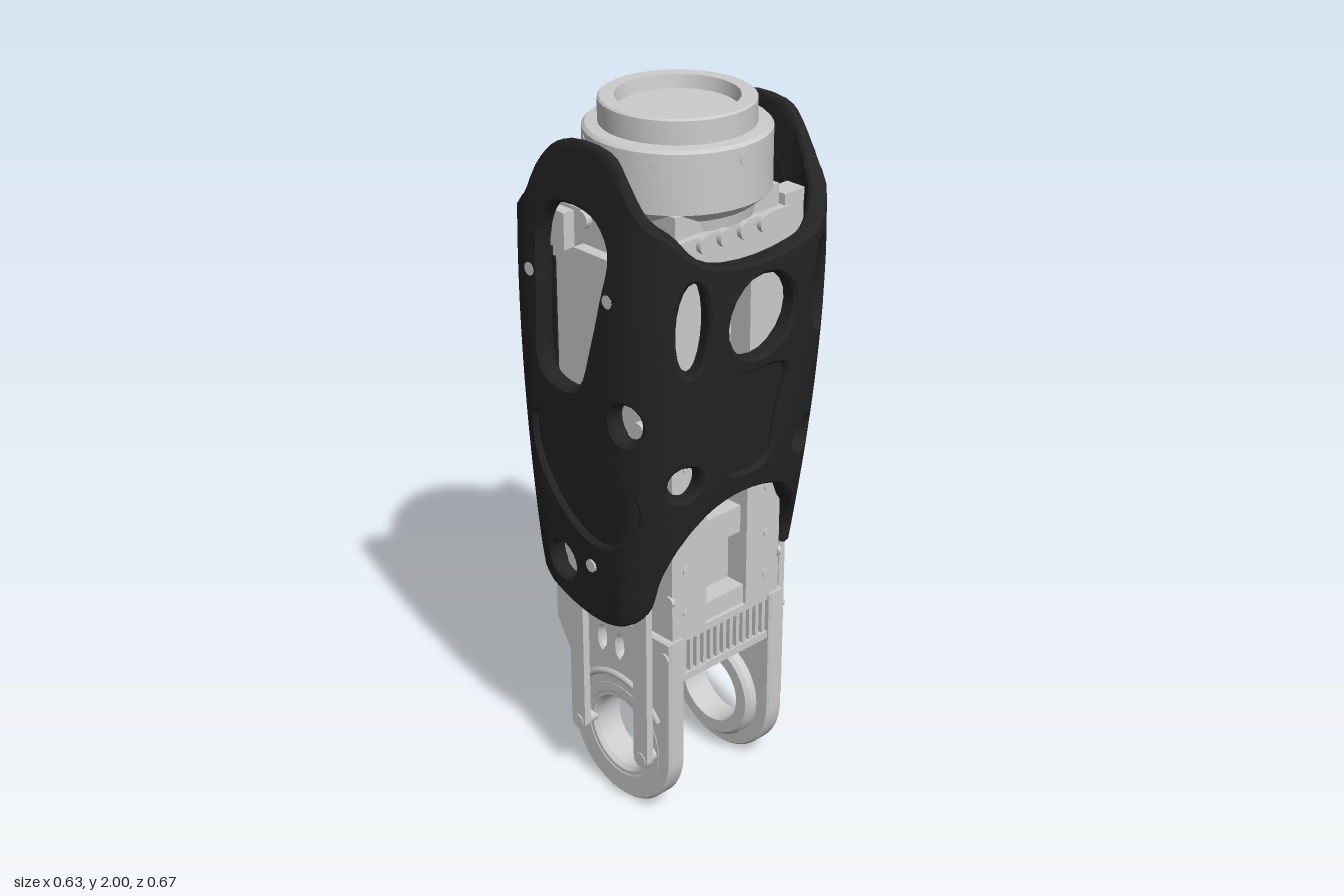
import * as THREE from 'three';
import { toCreasedNormals } from 'three/addons/utils/BufferGeometryUtils.js';

const grey = new THREE.MeshStandardMaterial({ color: 0xcccccc });
const black = new THREE.MeshStandardMaterial({ color: 0x242424 });

// Shell cross-section: rounded rectangle, wider corners on +x. s runs from the front centre over +x to the back
const A = 0.315, B = 0.333, R = 0.19, R2 = 0.12, THICK = 0.052, STEP = 0.04;
const Q = A - R + R * Math.PI / 2 + B - R;
const END = A - R2 + R2 * Math.PI / 2 + B - R2 - 0.07;
const scaleX = (pos, y) => 1 - (pos ? 0.28 : 0.11) * Math.pow(Math.max(0, 1.6 - y) / 0.8, 1.5);
const scaleZ = y => 1 - 0.11 * ((1.4 - y) / 0.8) ** 2;
const along = (v, half, r) => Math.sign(v) * (Math.abs(v) <= half - r ? Math.abs(v)
  : half - r + r * Math.asin(Math.min(1, (Math.abs(v) - half + r) / r)));
// Unrolled coordinates of a point on the front, side or back face
const front = (x, y) => [along(x / scaleX(x > 0, y), A, x > 0 ? R : R2), y];
const side = (z, y) => [Q - along(z / scaleZ(y), B, R), y];
const back = (x, y) => [2 * Q - front(x, y)[0], y];

// Point and normal on the cross-section
function section(s) {
  const t = s <= Q ? s : 2 * Q - s, sx = t < 0 ? -1 : 1, sz = s <= Q ? 1 : -1;
  const r = t < 0 ? R2 : R, arc = r * Math.PI / 2, v = Math.abs(t) - A + r;
  const a = Math.min(Math.max(v, 0), arc) / r, nx = Math.sin(a), nz = Math.cos(a);
  return [sx * (A - r + r * nx + Math.min(v, 0)), sz * (B - r + r * nz - Math.max(v - arc, 0)), sx * nx, sz * nz];
}

// Wraps an unrolled point around the leg in facets of width STEP; d is the depth, thinning towards the top
function wrap(s, y, d) {
  const k = Math.floor(s / STEP), f = s / STEP - k, p = section(k * STEP), q = section((k + 1) * STEP);
  const [x, z, nx, nz] = p.map((v, i) => v + (q[i] - v) * f);
  const e = d * (1 - 0.45 * Math.max(0, (y - 1.7) / 0.23));
  return [x * scaleX(x > 0, y) - nx * e, y, z * scaleZ(y) - nz * e];
}

const smooth = (pts, n) => new THREE.CatmullRomCurve3(pts.map(p => new THREE.Vector3(p[0], p[1], 0)), true)
  .getPoints(n).slice(0, -1).map(p => new THREE.Vector2(p.x, p.y));
const oval = ([s, y], rx, ry = rx, n = 20) => Array.from({ length: n }, (_, i) => {
  const t = i / n * Math.PI * 2;
  return new THREE.Vector2(s + rx * Math.cos(t), y + ry * Math.sin(t));
});

// Keeps the part of a polygon where sign * (coordinate - value) >= 0
function clip(poly, axis, value, sign) {
  return poly.flatMap((a, i) => {
    const b = poly[(i + 1) % poly.length], da = sign * (a[axis] - value), db = sign * (b[axis] - value);
    return [...(da >= 0 ? [a] : []), ...(da * db < 0 ? [a.clone().lerp(b, da / (da - db))] : [])];
  });
}
function slice(polys, axis, step) {
  return polys.flatMap(poly => {
    const c = poly.map(v => v[axis] / step), out = [];
    for (let k = Math.floor(Math.min(...c)); k <= Math.floor(Math.max(...c)); k++)
      out.push(clip(clip(poly, axis, k * step, 1), axis, (k + 1) * step, -1));
    return out.filter(piece => piece.length > 2);
  });
}

// Extrudes an unrolled outline, slices it on a grid and bends the result
function wrapped(outline, holes, thick, depth, bevel) {
  const shape = new THREE.Shape(outline);
  shape.holes = holes.map(h => new THREE.Path(h));
  const p = new THREE.ExtrudeGeometry(shape, { depth: thick - 2 * bevel, bevelEnabled: bevel > 0, bevelSize: bevel,
    bevelThickness: bevel, bevelOffset: -bevel, bevelSegments: 1 }).attributes.position;
  const out = [], put = v => out.push(...wrap(v.x, v.y, depth + thick - bevel - v.z));
  for (let i = 0; i < p.count; i += 3) {
    const tri = [0, 1, 2].map(k => new THREE.Vector3().fromBufferAttribute(p, i + k));
    for (const poly of slice(slice([tri], 'x', STEP), 'y', 0.08))
      for (let j = 1; j < poly.length - 1; j++) [poly[0], poly[j], poly[j + 1]].forEach(put);
  }
  const g = new THREE.BufferGeometry();
  g.setAttribute('position', new THREE.Float32BufferAttribute(out, 3));
  return toCreasedNormals(g, 0.6);
}
const lathe = pts => toCreasedNormals(new THREE.LatheGeometry(pts.map(p => new THREE.Vector2(...p)), 36), 0.5);

export function createModel() {
  const root = new THREE.Group();
  const add = (name, geo, pos = [0, 0, 0], mat = grey, rot = [0, 0, 0]) => {
    const m = new THREE.Mesh(geo, mat);
    m.name = name;
    m.position.set(...pos);
    m.rotation.set(...rot);
    root.add(m);
  };
  const box = (name, x0, x1, y0, y1, z0, z1, mat) => add(name,
    new THREE.BoxGeometry(x1 - x0, y1 - y0, z1 - z0), [(x0 + x1) / 2, (y0 + y1) / 2, (z0 + z1) / 2], mat);
  const boltZ = (name, x, y, z, r, len) =>
    add(name, new THREE.CylinderGeometry(r, r, len, 12), [x, y, z], grey, [Math.PI / 2, 0, 0]);
  const boltX = (name, x, y, z, r, len) =>
    add(name, new THREE.CylinderGeometry(r, r, len, 12), [x, y, z], grey, [0, 0, Math.PI / 2]);

  // Cover shell outline: lower edge front to back, then upper edge back to front
  const far = 2 * Q;
  const outline = smooth([
    [-END, 0.9], [-END + 0.03, 0.85], [-0.42, 0.82], front(-0.27, 0.79), front(-0.2, 0.67), front(-0.07, 0.61),
    front(0.04, 0.605), front(0.16, 0.67), side(0.243, 0.79), side(0.2, 0.89), side(0.127, 0.96), side(0, 0.985),
    side(-0.127, 0.96), side(-0.19, 0.9), side(-0.26, 0.76), back(0.17, 0.7), back(0, 0.69), back(-0.1, 0.7),
    back(-0.2, 0.74), [far + 0.42, 0.78], [far + END - 0.03, 0.8], [far + END, 0.85],
    [far + END, 1.05], [far + END, 1.3], [far + END, 1.53], [far + END - 0.03, 1.59], [far + 0.43, 1.63],
    [far + 0.33, 1.7], back(-0.23, 1.76), back(-0.16, 1.87), back(-0.08, 1.93),
    back(0.09, 1.93), back(0.14, 1.88), back(0.2, 1.8), [far - 0.28, 1.755], side(-0.2, 1.69),
    side(0, 1.655), side(0.2, 1.69), [0.28, 1.755], front(0.2, 1.8), front(0.14, 1.88), front(0.09, 1.935),
    front(-0.08, 1.935), front(-0.16, 1.87), front(-0.23, 1.76), [-0.33, 1.7], [-0.43, 1.63],
    [-END + 0.03, 1.59], [-END, 1.53], [-END, 1.3], [-END, 1.05],
  ], 190);
  const frontPocket = smooth([front(-0.19, 1.17), front(-0.2, 1.09), front(-0.13, 0.95), front(-0.02, 0.865),
    front(0.08, 0.87), front(0.17, 0.97), front(0.16, 1.05), front(0.06, 1.13), front(-0.08, 1.16)], 36);
  const backPocket = smooth([back(0.12, 1.4), back(0.03, 1.32), back(-0.06, 1.33), back(-0.12, 1.44),
    back(-0.09, 1.65), back(-0.03, 1.79), back(0.05, 1.81), back(0.1, 1.73)], 36);
  const sidePocket = smooth([side(0.07, 1.07), side(0, 1.05), side(-0.07, 1.07), side(-0.085, 1.2),
    side(-0.1, 1.33), side(0, 1.35), side(0.1, 1.33), side(0.085, 1.2)], 32);
  const window = smooth([front(-0.155, 1.31), front(-0.07, 1.28), front(-0.02, 1.3), front(0.025, 1.42),
    front(0.06, 1.55), front(0.09, 1.7), front(0.03, 1.77), front(-0.1, 1.77), front(-0.155, 1.69),
    front(-0.16, 1.5)], 40);
  const holes = [frontPocket, backPocket, sidePocket, window,
    oval(side(0, 1.5), 0.114), oval(front(0.15, 1.25), 0.055), oval(front(-0.12, 0.745), 0.055),
    oval(back(0.005, 0.97), 0.165, 0.145), oval(back(-0.19, 1.17), 0.05, 0.045),
    smooth([back(0.12, 1.2), back(0.235, 1.19), back(0.19, 1.3)], 18)];
  for (const k of [1, -1]) holes.push(oval(side(0.225 * k, 1.52), 0.045, 0.125),
    oval(side(0.215 * k, 1.08), 0.05), oval([k > 0 ? -0.43 : far + 0.43, 1.36], 0.038, 0.16));
  add('coverShell', wrapped(outline, holes, THICK, 0, 0.009), [0, 0, 0], black);
  for (const [name, pocket] of [['frontPocket', frontPocket], ['backPocket', backPocket], ['sidePocket', sidePocket]])
    add(name, wrapped(pocket, [], 0.03, 0.016, 0), [0, 0, 0], black);

  // Inner side panel and the bridge behind the collar
  box('sidePanel', -0.272, -0.25, 0.63, 1.55, -0.2, 0.2, black);
  box('panelFoot', -0.272, -0.252, 0.6, 0.64, -0.2, -0.15, black);
  box('shellBridge', -0.022, 0.022, 1.62, 1.72, -0.3, -0.21, black);

  // Main housing with a channel on its open side
  box('housingCore', -0.262, 0.12, 0.56, 1.66, -0.195, 0.195);
  for (const k of [1, -1]) {
    box('housingWall', -0.22, 0.19, 0.57, 1.6, k > 0 ? 0.075 : -0.2, k > 0 ? 0.2 : -0.075);
    for (const y of [0.65, 0.78, 0.92, 1.08]) boltX('wallScrew', 0.187, y, 0.15 * k, 0.012, 0.014);
  }
  box('channelBlock', 0.1, 0.165, 0.8, 0.88, -0.075, 0.075);
  box('channelLedge', 0.1, 0.18, 0.585, 0.64, -0.075, 0.075);
  box('shoulder', -0.275, 0.2, 1.58, 1.71, -0.2, 0.2);
  box('shoulderStep', -0.24, 0.18, 1.71, 1.77, -0.18, 0.18);
  for (const z of [-0.105, -0.035, 0.035, 0.105]) boltX('shoulderScrew', 0.2, 1.69, z, 0.024, 0.03);

  // Ribbed cross block between the fork arms
  box('crossBlock', -0.19, 0.165, 0.44, 0.58, -0.165, 0.165);
  for (const y of [0.447, 0.572]) box('ribRail', 0.16, 0.19, y - 0.011, y + 0.011, -0.165, 0.165);
  for (let z = -0.15; z < 0.16; z += 0.025) box('rib', 0.16, 0.186, 0.45, 0.57, z - 0.006, z + 0.006);

  // Fork arms with bearing rings, linkage rods and pins
  const fork = new THREE.Shape();
  fork.moveTo(-0.2, 0.2).absarc(0, 0.2, 0.2, Math.PI, Math.PI * 2, false);
  fork.lineTo(0.2, 0.58).lineTo(-0.265, 0.58).lineTo(-0.265, 0.47).lineTo(-0.2, 0.36);
  fork.holes.push(new THREE.Path().absarc(0, 0.2, 0.11, 0, Math.PI * 2, true));
  for (const x of [-0.07, 0, 0.07]) fork.holes.push(new THREE.Path(oval([x, 0.485], 0.013, 0.035, 12)));
  const forkGeo = toCreasedNormals(new THREE.ExtrudeGeometry(fork,
    { depth: 0.044, bevelThickness: 0.006, bevelSize: 0.006, bevelOffset: -0.006, bevelSegments: 1, curveSegments: 20 }), 0.6);
  const ring = lathe([[0.108, -0.045], [0.145, -0.045], [0.155, -0.035], [0.155, 0.048], [0.13, 0.048],
    [0.108, 0.035], [0.108, -0.045]]);
  const rod = new THREE.Shape().absarc(0, 0.2, 0.027, Math.PI, Math.PI * 2, false).absarc(0, 1.2, 0.027, 0, Math.PI, false);
  const rodGeo = new THREE.ExtrudeGeometry(rod, { depth: 0.022, bevelEnabled: false, curveSegments: 8 });
  for (const k of [1, -1]) {
    add('forkArm', forkGeo, [0, 0, k > 0 ? 0.168 : -0.212]);
    add('bearingRing', ring, [0, 0.2, 0.172 * k], grey, [k * Math.PI / 2, 0, 0]);
    add('archRib', new THREE.TorusGeometry(0.19, 0.012, 6, 16, Math.PI * 0.6), [0, 0.2, 0.216 * k], grey, [0, 0, Math.PI * 0.2]);
    for (const x of [-0.128, 0.128]) {
      add('linkRod', rodGeo, [x, 0, k > 0 ? 0.24 : -0.262]);
      boltZ('linkPin', x, 0.2, 0.233 * k, 0.021, 0.064);
    }
    for (const x of [-0.18, 0.18]) for (const [y, z] of [[0.53, 0.218], [0.7, 0.2]]) boltZ('armScrew', x, y, z * k, 0.017, 0.012);
    // Equipment and fasteners behind the shell openings
    box('faceCover', -0.135, 0.03, 1.3, 1.62, k > 0 ? 0.18 : -0.235, k > 0 ? 0.235 : -0.18);
    for (const x of [-0.125, -0.035, 0.055]) boltZ('coverScrew', x, 1.69, 0.205 * k, 0.024, 0.025);
    boltZ('gearHousing', 0.03, 1.02, 0.2 * k, 0.12, 0.05);
    boltZ('lowerMount', k > 0 ? -0.115 : -0.19, 0.75, 0.235 * k, 0.035, 0.07);
  }
  for (const [x, y, z] of [[-0.195, 1.57, 0.312], [0.098, 1.57, 0.312], [0, 0.78, 0.297], [0.17, 1.67, -0.312],
    [0.03, 1.2, -0.312]]) boltZ('shellScrew', x, y, z, 0.018, 0.04);
  boltX('crossTube', 0, 0.97, -0.2, 0.045, 0.36);

  // Clips and cable post around the shoulder
  for (const x of [-0.13, 0.16]) box('rearClip', x - 0.032, x + 0.032, 1.6, 1.74, -0.265, -0.19);
  add('rearPost', new THREE.CylinderGeometry(0.03, 0.03, 0.5, 12), [0.1, 1.45, -0.225]);
  for (const x of [-0.2, 0.14]) box('frontClip', x - 0.03, x + 0.03, 1.6, 1.7, 0.19, 0.235);
  add('sideBrace', new THREE.CylinderGeometry(0.04, 0.04, 0.16, 10), [-0.15, 1.77, -0.15], grey, [0, Math.PI / 4, Math.PI / 3]);
  box('sideStop', -0.25, -0.18, 1.7, 1.82, -0.09, 0.09);

  // Top collar with a recessed coupling
  add('collar', lathe([[0, 1.68], [0.195, 1.68], [0.205, 1.74], [0.24, 1.77], [0.24, 1.925], [0.232, 1.933],
    [0.2, 1.935], [0.2, 1.995], [0.195, 2], [0.158, 2], [0.152, 1.965], [0, 1.965]]));
  for (let i = 0; i < 12; i++) {
    const t = i / 12 * Math.PI * 2, c = Math.cos(t), s = Math.sin(t);
    add('rimScrew', new THREE.CylinderGeometry(0.009, 0.009, 0.004, 3), [0.178 * c, 1.998, 0.178 * s]);
    if (i % 2 === 0) add('collarScrew', new THREE.CylinderGeometry(0.02, 0.02, 0.01, 10),
      [0.236 * c, 1.895, 0.236 * s], grey, [0, -t, Math.PI / 2]);
  }
  return root;
}
